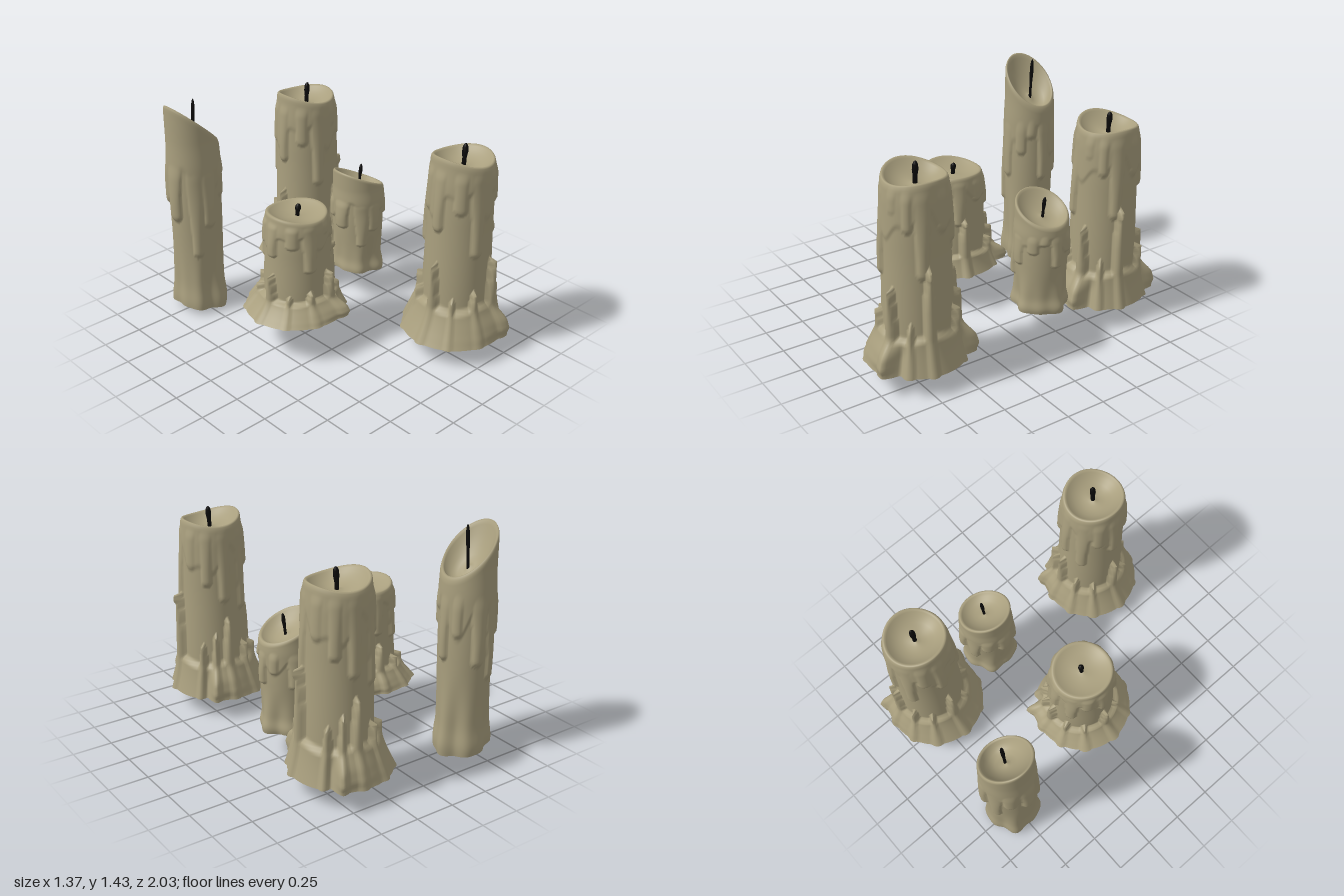
import * as THREE from 'three';

const wax = new THREE.MeshStandardMaterial({ color: 0xa99f7e });
wax.name = 'candle wax';
const char = new THREE.MeshStandardMaterial({ color: 0x0b0a0a });
char.name = 'burnt wick';

const rad = Math.PI / 180;
const step = THREE.MathUtils.smoothstep;
const clamp = THREE.MathUtils.clamp;
// signed difference between two angles, -PI..PI
const turn = (a, b) => Math.atan2(Math.sin(a - b), Math.cos(a - b));

// Rounded runnel of wax hanging from the rim down to y = bottom
function drip(a, y, [deg, bottom, w, thick], r) {
  const dx = turn(a, deg * rad) * r;
  const dy = Math.max(0, bottom + w - y);
  const grow = 1 + 0.5 * step(y, bottom + 0.1, bottom + 0.5);
  const d = Math.hypot(dx / grow, dy) / w;
  const fade = 1 - 0.6 * step(y, bottom + 0.1, bottom + 0.5);
  return d < 1 ? thick * fade * Math.sqrt(1 - d * d) : 0;
}

// Pointed tongue of wax standing up from the foot
function tongue(a, y, [deg, top, w, thick]) {
  if (y >= top) return 0;
  const width = w * Math.sqrt(clamp((top - y) / 0.25, 0, 1));
  const d = turn(a, deg * rad) * 0.22 / width;
  return Math.abs(d) < 1 ? thick * Math.sqrt(1 - d * d) : 0;
}

const strongest = (list, fn) => list.reduce((m, item) => Math.max(m, fn(item)), 0);

// Wax body: relief wall, rounded lip, melted dish and flat underside
function waxBody({ radius, rim, bottom, centre, depth, axis }) {
  const N = 144, ROWS = 78;
  const lip = [[0.985, -0.008], [0.955, 0], [0.91, -0.001], [0.86, -0.01], [0.77, -0.03],
    [0.6, -0.055], [0.4, -0.07], [0.2, -0.074], [0.07, -0.066], [0, -0.062]];
  const pos = [], idx = [];
  const ring = (fn) => {
    for (let i = 0; i < N; i++) {
      const a = i / N * Math.PI * 2;
      const [r, y] = fn(a);
      pos.push(axis + r * Math.cos(a), y, r * Math.sin(a));
    }
  };
  for (let j = 0; j <= ROWS; j++) {
    ring((a) => {
      const y = bottom(a) + (rim(a) - 0.025 - bottom(a)) * j / ROWS;
      return [radius(a, y), y];
    });
  }
  for (const [f, dy] of lip) {
    ring((a) => [radius(a, rim(a)) * f, centre + (rim(a) - centre) * f + dy * depth]);
  }
  const rings = ROWS + lip.length;
  for (let j = 0; j < rings; j++) {
    for (let i = 0; i < N; i++) {
      const k = (i + 1) % N;
      const a = j * N + i, b = j * N + k, c = a + N, d = b + N;
      idx.push(a, c, b);
      if (j < rings - 1) idx.push(b, c, d);
    }
  }
  // underside has its own ring so the bottom edge stays sharp
  const base = pos.length / 3;
  ring((a) => [radius(a, bottom(a)), bottom(a)]);
  pos.push(axis, (bottom(0) + bottom(Math.PI)) / 2, 0);
  for (let i = 0; i < N; i++) idx.push(base + N, base + i, base + (i + 1) % N);
  const geo = new THREE.BufferGeometry();
  geo.setAttribute('position', new THREE.Float32BufferAttribute(pos, 3));
  geo.setIndex(idx);
  geo.computeVertexNormals();
  return geo;
}

// Thin wick, slightly thicker near its tip and leaning sideways
function wickShape(y0, y1, r, lean) {
  const h = y1 - y0;
  const profile = [[0, 0], [0.75, 0], [0.7, 0.4], [1, 0.65], [0.9, 0.85], [0.5, 0.96], [0, 1]];
  const geo = new THREE.LatheGeometry(profile.map(([x, t]) => new THREE.Vector2(x * r, t * h)), 10);
  const p = geo.attributes.position;
  for (let i = 0; i < p.count; i++) p.setX(i, p.getX(i) + lean * (p.getY(i) / h - 0.5));
  geo.translate(0, y0, 0);
  geo.computeVertexNormals();
  return geo;
}

// ---- Pillar candle: wide flared foot, tongues and runnels
const pillarDrips = [[108, 0.56, 0.036, 0.024], [140, 0.84, 0.04, 0.018], [72, 0.95, 0.035, 0.014],
  [20, 0.58, 0.036, 0.024], [-18, 0.84, 0.04, 0.016], [-50, 0.74, 0.034, 0.02], [-82, 0.63, 0.034, 0.022],
  [-120, 0.56, 0.034, 0.022], [-150, 0.82, 0.04, 0.018], [180, 0.71, 0.036, 0.024], [45, 0.86, 0.03, 0.018]];
const pillarTongues = [[73, 0.52, 0.036, 0.05], [110, 0.34, 0.04, 0.04], [13, 0.65, 0.035, 0.05],
  [178, 0.51, 0.034, 0.045], [-84, 0.52, 0.034, 0.045], [-40, 0.35, 0.035, 0.045], [42, 0.3, 0.035, 0.045],
  [145, 0.29, 0.03, 0.04], [-115, 0.34, 0.03, 0.045], [-145, 0.3, 0.035, 0.045], [-62, 0.42, 0.025, 0.045]];

// Overlapping fold at the ends of the foot; side sets which way it trails
function fold(a, y, deg, side) {
  const s = turn(a, deg * rad) * side;
  const swell = s > 0 ? Math.exp(-s / 0.5) : Math.exp(s / 0.05);
  const spike = Math.exp(-Math.pow(s / 0.1, 2)) * 0.02;
  const crease = 0.025 * Math.exp(-Math.pow((s + 0.2) / 0.08, 2));
  const keep = 1 - step(y, 0.1, 0.22);
  const under = 0.35 + 0.65 * step(y, 0, 0.06);
  return keep * (0.05 * swell * under + spike - crease);
}

function pillarRadius(a, y) {
  const body = 0.197 - 0.01 * step(y, 0.75, 1.17) + 0.012 * (1 - step(y, 0.2, 0.8));
  const sheetEdge = 0.9 + 0.07 * Math.sin(3 * a + 0.6) + 0.04 * Math.sin(7 * a);
  const sheet = 0.008 * step(y, sheetEdge - 0.02, sheetEdge + 0.02) * (1 - step(y, 1.0, 1.16));
  const runs = strongest(pillarDrips, (d) => drip(a, y, d, 0.2)) * (1 - step(y, 1.04, 1.13));
  const collarEdge = 0.22 + 0.012 * Math.sin(4 * a + 1);
  const collar = 0.03 * (1 - step(y, collarEdge - 0.025, collarEdge + 0.012));
  const flare = (0.068 - 0.024 * Math.cos(a)) * Math.pow(clamp(1 - y / 0.22, 0, 1), 1.4);
  const rise = strongest(pillarTongues, (t) => tongue(a, y, t));
  return body + Math.max(sheet, runs) + Math.max(collar, rise) + flare
    + fold(a, y, 66, 1) + fold(a, y, -58, -1);
}

const pillar = {
  radius: pillarRadius,
  rim: (a) => 1.142 - 0.013 * Math.cos(a) + 0.018 * Math.cos(2 * a),
  bottom: () => 0, centre: 1.14, depth: 0.9, axis: -0.01,
};

// ---- Taper candle: steep slanted top, fluted foot
const taperDrips = [[125, 0.42, 0.034, 0.022], [95, 0.62, 0.04, 0.018], [55, 0.8, 0.035, 0.016],
  [2, 0.62, 0.03, 0.024], [30, 0.92, 0.03, 0.016], [-30, 0.78, 0.03, 0.02], [-75, 0.6, 0.036, 0.028],
  [-110, 0.5, 0.034, 0.02], [-145, 0.75, 0.04, 0.02], [175, 0.66, 0.045, 0.028]];

function taperRadius(a, y) {
  const body = 0.157 + 0.006 * step(y, 0.3, 0.8);
  const low = 1 - step(y, 0.05, 0.6);
  const flutes = low * (0.011 * Math.cos(5 * a + 0.4) + 0.006 * Math.cos(8 * a + 1.5));
  const foot = 0.014 * Math.exp(-Math.pow((y - 0.06) / 0.09, 2));
  const edge = 0.9 + 0.08 * Math.sin(3 * a) + 0.05 * Math.sin(5 * a + 1);
  const sheet = 0.007 * step(y, edge - 0.03, edge + 0.03) * (1 - step(y, 1.0, 1.2));
  const runs = strongest(taperDrips, (d) => drip(a, y, d, 0.16)) * (1 - step(y, 0.95, 1.12));
  return body + flutes + foot + Math.max(sheet, runs);
}

const taper = {
  radius: taperRadius,
  rim: (a) => 1.28 - 0.15 * Math.cos(a),
  bottom: (a) => 0.022 - 0.022 * Math.cos(a),
  centre: 1.275, depth: 1.6, axis: -0.015,
};

export function createModel() {
  const model = new THREE.Group();
  model.name = 'candles';
  const kinds = {
    pillar: [waxBody(pillar), wickShape(1.06, 1.212, 0.018, 0.01)],
    taper: [waxBody(taper), wickShape(1.14, 1.43, 0.012, 0.02)],
  };
  // kind, name, x, y, z, height scale
  const places = [
    ['pillar', 'frontPillarCandle', 0.4, 0.122, 0.68, 1],
    ['pillar', 'backPillarCandle', 0.4, 0.122, -0.69, 1],
    ['pillar', 'shortPillarCandle', -0.285, 0.245, -0.01, 0.562],
    ['taper', 'tallTaperCandle', -0.475, 0, -0.76, 1],
    ['taper', 'shortTaperCandle', 0.415, 0.18, -0.195, 0.507],
  ];
  for (const [kind, name, x, y, z, h] of places) {
    const candle = new THREE.Group();
    candle.name = name;
    const body = new THREE.Mesh(kinds[kind][0], wax);
    body.name = 'waxBody';
    const wick = new THREE.Mesh(kinds[kind][1], char);
    wick.name = 'wick';
    candle.add(body, wick);
    candle.position.set(x, y, z);
    candle.scale.y = h;
    model.add(candle);
  }
  return model;
}
